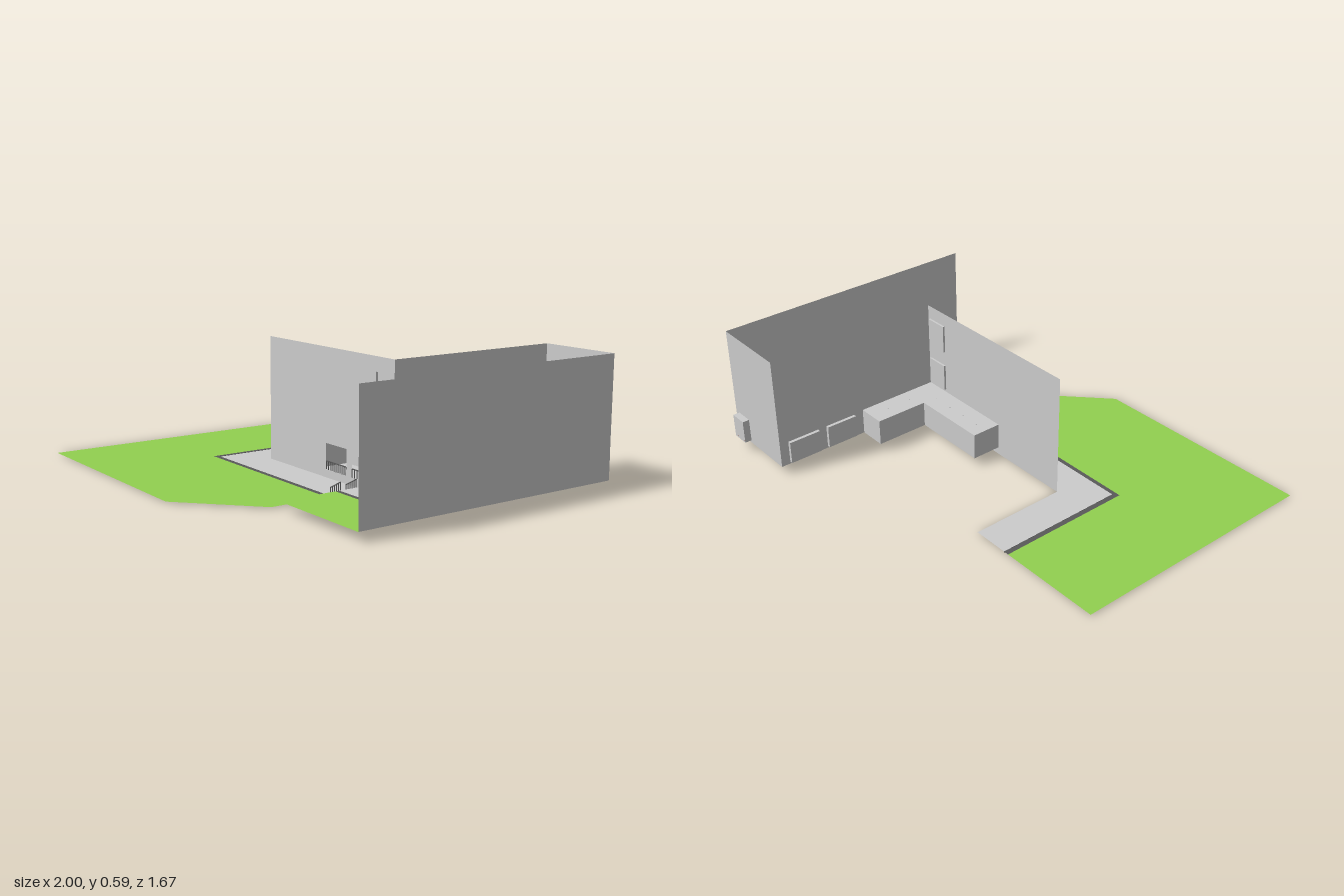
import * as THREE from 'three';

const mat = (color) => new THREE.MeshStandardMaterial({ color, side: THREE.DoubleSide });
const LOW = 0.013, HIGH = 0.05, TOP = 0.595, ROOF = 0.175;

export function createModel() {
  const root = new THREE.Group();
  const grey = mat(0xcccccc), green = mat(0x92d050), dark = mat(0x595959), red = mat(0x7a1c08);

  const add = (parent, name, geo, material = grey) => {
    const mesh = new THREE.Mesh(geo, material);
    mesh.name = name;
    parent.add(mesh);
    return mesh;
  };
  // Flat horizontal sheet from [x, z] corners
  const sheet = (name, pts, y, material = grey) => {
    const shape = new THREE.Shape(pts.map(([x, z]) => new THREE.Vector2(x, -z)));
    const mesh = add(root, name, new THREE.ShapeGeometry(shape).rotateX(-Math.PI / 2), material);
    mesh.position.y = y;
    return mesh;
  };
  const rect = (x0, x1, z0, z1) => [[x0, z0], [x0, z1], [x1, z1], [x1, z0]];
  // Upright sheet with openings [u0, u1, v0, v1]
  const wall = (parent, name, u0, u1, v0, v1, openings = []) => {
    const box = (a, b, c, d) => [[a, c], [b, c], [b, d], [a, d]].map((p) => new THREE.Vector2(...p));
    const shape = new THREE.Shape(box(u0, u1, v0, v1));
    openings.forEach((o) => shape.holes.push(new THREE.Path(box(...o))));
    return add(parent, name, new THREE.ShapeGeometry(shape));
  };
  // Shallow box behind an opening, without its front (and optionally its bottom)
  const niche = (parent, name, [u0, u1, v0, v1], depth, bottom = true) => {
    const geo = new THREE.BoxGeometry(u1 - u0, v1 - v0, depth);
    const index = Array.from(geo.index.array);
    geo.setIndex(index.filter((_, i) => !(i >= 24 && i < 30) && (bottom || i < 18 || i >= 24)));
    add(parent, name, geo).position.set((u0 + u1) / 2, (v0 + v1) / 2, -depth / 2);
  };
  // Balustrade of thin bars, rising by `rise` along its length
  const railing = (parent, name, u0, u1, y, h, count, rise = 0) => {
    const group = new THREE.Group();
    group.name = name;
    for (let i = 0; i < count; i++) {
      const t = i / (count - 1);
      add(group, 'bar', new THREE.BoxGeometry(0.003, h, 0.003), dark)
        .position.set(u0 + (u1 - u0) * t, y + rise * t + h / 2, 0);
    }
    const rail = add(group, 'handrail', new THREE.BoxGeometry(Math.hypot(u1 - u0, rise), 0.004, 0.004), dark);
    rail.position.set((u0 + u1) / 2, y + h + rise / 2, 0);
    rail.rotation.z = Math.atan2(rise, u1 - u0);
    parent.add(group);
    return group;
  };

  // Lawns
  sheet('lowerLawn', [[-1, -0.405], [-1, 0.83], [0.1, 0.83], [0.42, 0.525], [0.42, 0.25],
    [-0.505, 0.25], [-0.505, -0.405]], LOW, green);
  sheet('upperLawn', rect(0.48, 1, 0.25, 0.525), HIGH, green);

  // Paving
  sheet('lowerPaving', [[-0.48, -0.405], [-0.48, 0.23], [0.42, 0.23], [0.42, 0.055],
    [-0.305, 0.055], [-0.305, -0.405]], LOW);
  sheet('upperFloor', [[0.48, 0.055], [0.48, 0.23], [1, 0.23], [1, -0.805], [0.615, -0.805], [0.615, 0.055]], HIGH);

  // Dark kerbs with a small step
  sheet('lowerKerb', [[-0.505, -0.405], [-0.505, 0.25], [0.42, 0.25], [0.42, 0.23],
    [-0.48, 0.23], [-0.48, -0.405]], LOW, dark);
  sheet('upperKerb', rect(0.48, 1, 0.23, 0.25), HIGH, dark);
  add(root, 'kerbStep', new THREE.PlaneGeometry(0.9, 0.006), dark).position.set(-0.03, LOW - 0.002, 0.23);
  const sideStep = add(root, 'kerbStep', new THREE.PlaneGeometry(0.635, 0.006), dark);
  sideStep.position.set(-0.48, LOW - 0.002, -0.0875);
  sideStep.rotation.y = Math.PI / 2;

  // Long front wall: two balcony openings, a doorway, two upper windows
  const front = new THREE.Group();
  front.name = 'frontWall';
  front.position.z = 0.055;
  root.add(front);
  const balconies = [[0.14, 0.29, HIGH, 0.168], [0.33, 0.435, HIGH, 0.168]];
  const upper = [[0.492, 0.602, 0.19, 0.32], [0.492, 0.602, 0.395, 0.53]];
  wall(front, 'frontWallSheet', -0.305, 0.615, LOW, TOP, [...balconies, [0.482, 0.585, HIGH + 0.001, 0.168], ...upper]);
  upper.forEach((o) => niche(front, 'upperWindow', o, 0.01));
  balconies.forEach((o) => railing(front, 'balconyRailing', o[0] + 0.003, o[1] - 0.003, HIGH, 0.038,
    Math.round((o[1] - o[0]) / 0.014)));

  // Inner side wall, its length running toward the back
  const side = new THREE.Group();
  side.name = 'innerSideWall';
  side.position.x = 0.615;
  side.rotation.y = Math.PI / 2;
  root.add(side);
  const recesses = [[0.4, 0.555, 0.06, 0.168], [0.6, 0.76, 0.06, 0.168]];
  const sideBalconies = [[0, 0.12, HIGH + 0.001, 0.168], [0.17, 0.31, HIGH + 0.001, 0.168]];
  wall(side, 'innerSideWallSheet', -0.055, 0.805, HIGH, TOP, [...recesses, ...sideBalconies]);
  recesses.forEach((o) => niche(side, 'sideWindow', o, 0.016));
  sideBalconies.forEach((o) => railing(side, 'sideRailing', o[0] + 0.003, o[1] - 0.003, HIGH, 0.038, 9));

  // Back wall with a sloped-floor alcove
  const back = new THREE.Group();
  back.name = 'backWall';
  back.position.z = -0.805;
  root.add(back);
  const alcove = [0.885, 0.972, 0.062, 0.175];
  wall(back, 'backWallSheet', 0.615, 1, HIGH, TOP, [alcove]);
  niche(back, 'alcove', alcove, 0.033, false);
  const ramp = add(back, 'alcoveFloor', new THREE.PlaneGeometry(0.087, 0.035), red);
  ramp.position.set(0.9285, 0.067, -0.0165);
  ramp.rotation.x = -Math.PI / 2 + Math.atan2(0.01, 0.033);

  // Tall outer side wall
  const outer = wall(root, 'outerSideWall', -0.525, 0.805, HIGH, TOP);
  outer.position.x = 1;
  outer.rotation.y = Math.PI / 2;

  // L-shaped corridor behind the openings
  const corridor = [[0.1, 0.055], [0.615, 0.055], [0.615, -0.35], [0.48, -0.35], [0.48, -0.09], [0.1, -0.09]];
  sheet('corridorFloor', corridor, HIGH);
  sheet('corridorRoof', corridor, ROOF);
  const outline = [...corridor.slice(2), corridor[0]];
  for (let i = 0; i < outline.length - 1; i++) {
    const [x0, z0] = outline[i], [x1, z1] = outline[i + 1];
    const w = add(root, 'corridorWall', new THREE.PlaneGeometry(Math.hypot(x1 - x0, z1 - z0), ROOF - HIGH));
    w.position.set((x0 + x1) / 2, (ROOF + HIGH) / 2, (z0 + z1) / 2);
    w.rotation.y = -Math.atan2(z1 - z0, x1 - x0);
  }
  // Small ceiling lights
  for (const [x, z] of [[0.17, -0.02], [0.27, -0.02], [0.37, -0.02], [0.47, -0.02], [0.55, -0.02], [0.55, -0.13], [0.55, -0.25]]) {
    add(root, 'ceilingLight', new THREE.CylinderGeometry(0.004, 0.004, 0.003, 10)).position.set(x, ROOF, z);
  }

  // Three sloped handrails between the two levels
  for (const z of [0.065, 0.145, 0.225]) {
    railing(root, 'stairRailing', 0.41, 0.48, LOW, 0.035, 6, HIGH - LOW).position.z = z;
  }
  return root;
}
